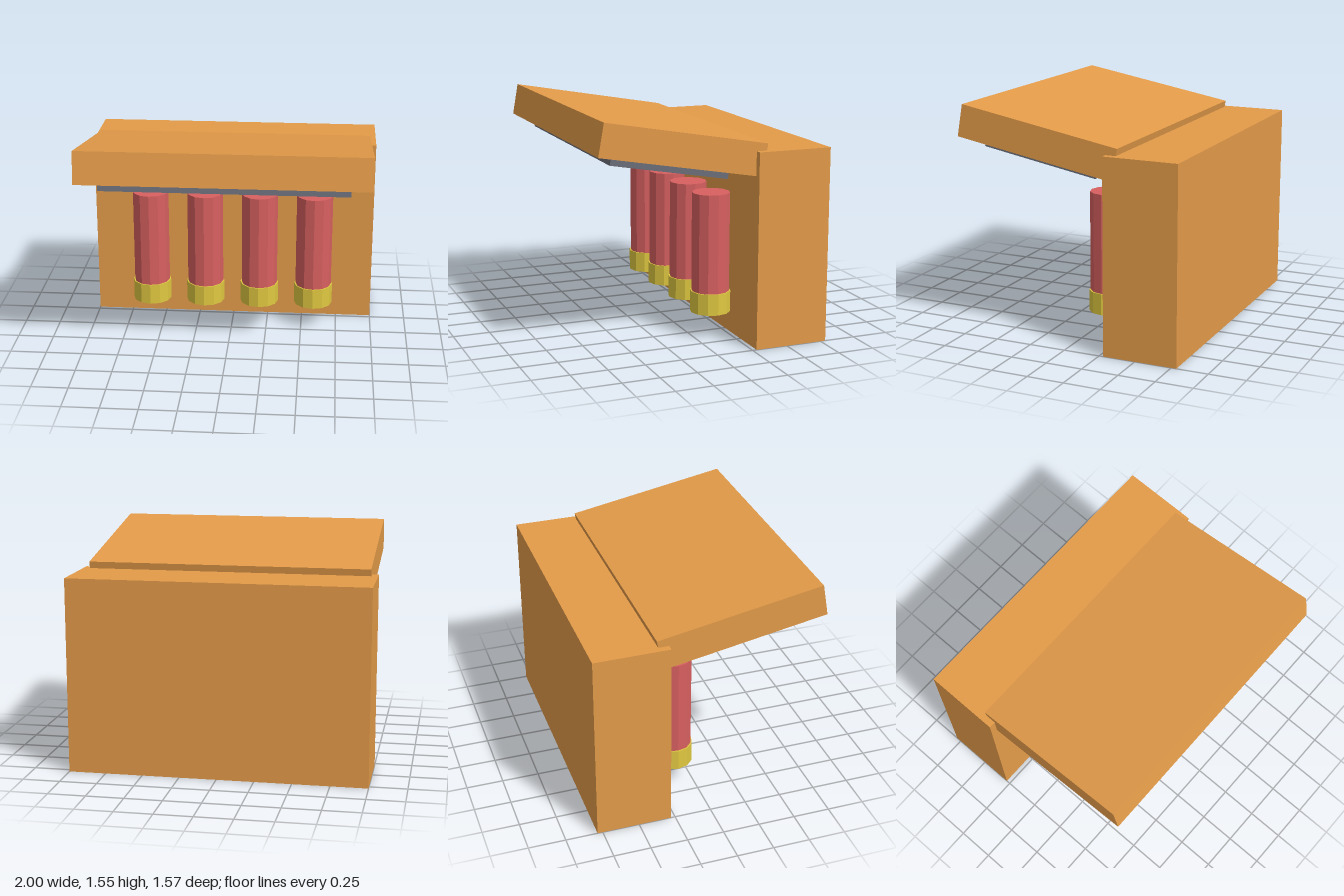
import * as THREE from 'three';

const paint = (color) => new THREE.MeshStandardMaterial({ color, flatShading: true });

function addMesh(parent, name, geometry, material, x, y, z) {
  const mesh = new THREE.Mesh(geometry, material);
  mesh.name = name;
  mesh.position.set(x, y, z);
  parent.add(mesh);
  return mesh;
}

export function createModel() {
  const model = new THREE.Group();
  model.name = 'cartridgeBox';

  const card = paint(0xe39b49);
  const lining = paint(0x6b6e78);
  const red = paint(0xd86060);
  const brass = paint(0xe0c840);

  // Main box
  addMesh(model, 'boxBody', new THREE.BoxGeometry(2, 1.31, 0.507), card, 0, 0.655, -0.532);

  // Open lid, tilted up towards the front, with a dark panel on its underside
  const lid = new THREE.Group();
  lid.name = 'lid';
  lid.position.set(0, 1.348, 0.213);
  lid.rotation.x = -THREE.MathUtils.degToRad(10.2);
  model.add(lid);
  addMesh(lid, 'lidBoard', new THREE.BoxGeometry(1.91, 0.218, 1.123), card, 0, 0, 0);
  addMesh(lid, 'lidPanel', new THREE.BoxGeometry(1.635, 0.11, 0.818), lining, 0, -0.112, 0.018);

  // Row of cartridges standing in front of the box
  const tubeGeometry = new THREE.CylinderGeometry(0.127, 0.127, 0.815, 12);
  const baseGeometry = new THREE.CylinderGeometry(0.136, 0.136, 0.145, 12);
  for (let i = 0; i < 4; i++) {
    const cartridge = new THREE.Group();
    cartridge.name = `cartridge${i + 1}`;
    cartridge.position.set((i - 1.5) * 0.388, 0, -0.129);
    addMesh(cartridge, 'tube', tubeGeometry, red, 0, 0.5775, 0);
    addMesh(cartridge, 'brassBase', baseGeometry, brass, 0, 0.2405, 0);
    model.add(cartridge);
  }

  return model;
}
